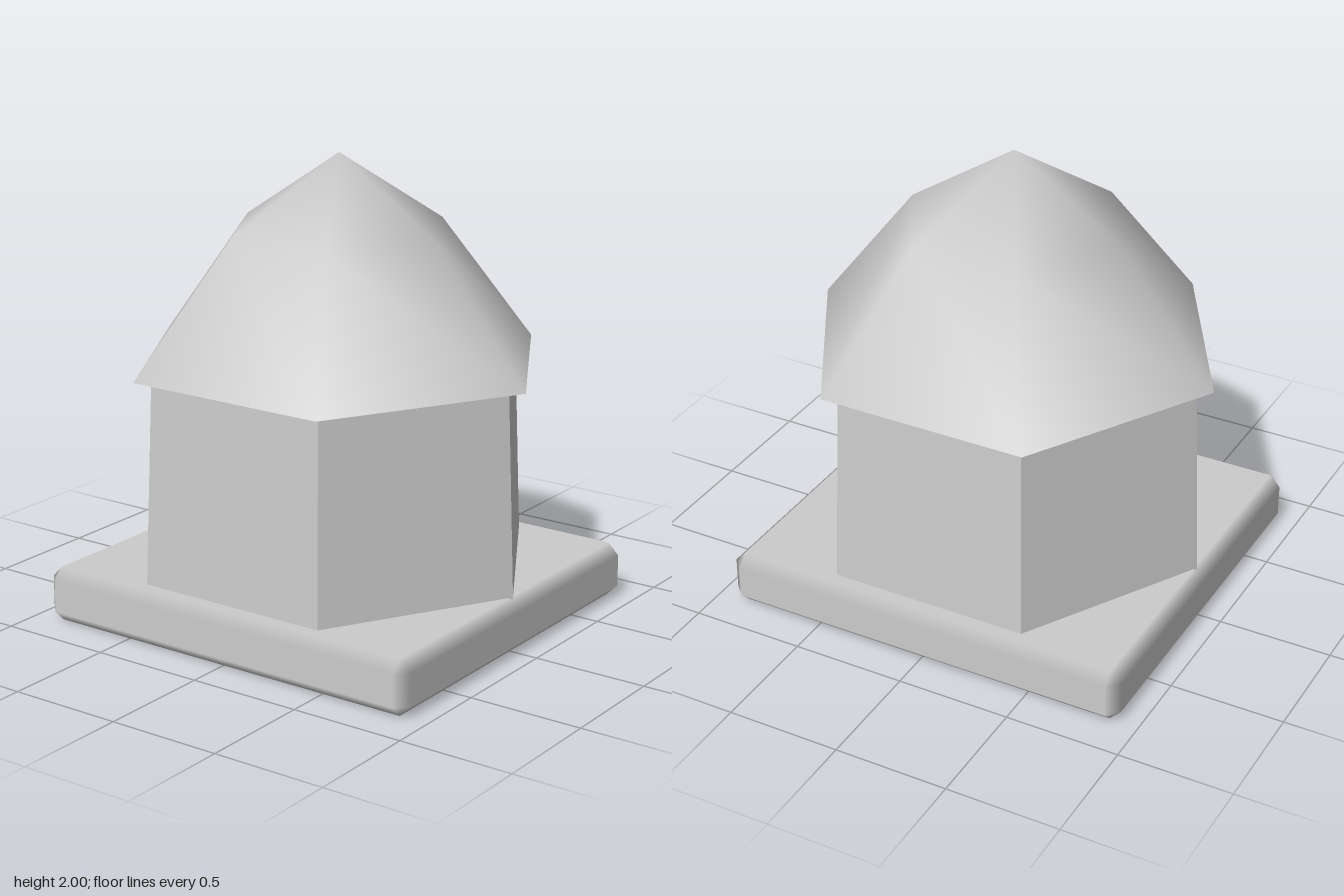
import * as THREE from 'three';
import { mergeVertices } from 'three/addons/utils/BufferGeometryUtils.js';
import { ConvexGeometry } from 'three/addons/geometries/ConvexGeometry.js';

// Box with a single chamfer on every edge; normals follow the main faces so the edges shade softly
function chamferedBox(hx, hy, hz, c) {
  const half = [hx, hy, hz];
  const points = [];
  for (const sx of [-1, 1]) for (const sy of [-1, 1]) for (const sz of [-1, 1]) {
    const s = [sx, sy, sz];
    for (let axis = 0; axis < 3; axis++) {
      points.push(new THREE.Vector3(...s.map((v, i) => v * (half[i] - (i === axis ? 0 : c)))));
    }
  }
  const geometry = new ConvexGeometry(points);
  const p = geometry.attributes.position;
  for (let i = 0; i < p.count; i++) {
    const v = [p.getX(i), p.getY(i), p.getZ(i)];
    const n = v.map((value, k) => (Math.abs(value) > half[k] - c / 2 ? Math.sign(value) : 0));
    geometry.attributes.normal.setXYZ(i, ...n);
  }
  return geometry;
}

export function createModel() {
  const group = new THREE.Group();
  const stone = new THREE.MeshStandardMaterial({ color: 0xcccccc });
  stone.name = 'pale grey';

  const add = (name, geometry, y = 0) => {
    const mesh = new THREE.Mesh(geometry, stone);
    mesh.name = name;
    mesh.position.y = y;
    group.add(mesh);
  };

  // Rectangular plinth
  add('base', chamferedBox(0.92, 0.12, 0.86, 0.05), 0.12);

  // Tapered six-sided walls, sunk slightly into the plinth
  const walls = new THREE.CylinderGeometry(0.842, 0.881, 0.9, 6, 1, false, Math.PI / 2).toNonIndexed();
  walls.computeVertexNormals();
  add('walls', walls, 0.67);

  // Six-sided two-pitch roof with smooth shading
  const profile = [[0.92, 1.12], [0.48, 1.685], [0, 2]].map(([r, y]) => new THREE.Vector2(r, y));
  let roof = new THREE.LatheGeometry(profile, 6, Math.PI / 2);
  roof.deleteAttribute('normal');
  roof.deleteAttribute('uv');
  roof = mergeVertices(roof);
  roof.computeVertexNormals();
  add('roof', roof);

  // Flat underside of the eaves
  add('eavesUnderside', new THREE.CircleGeometry(0.92, 6).rotateX(Math.PI / 2), 1.12);

  return group;
}
